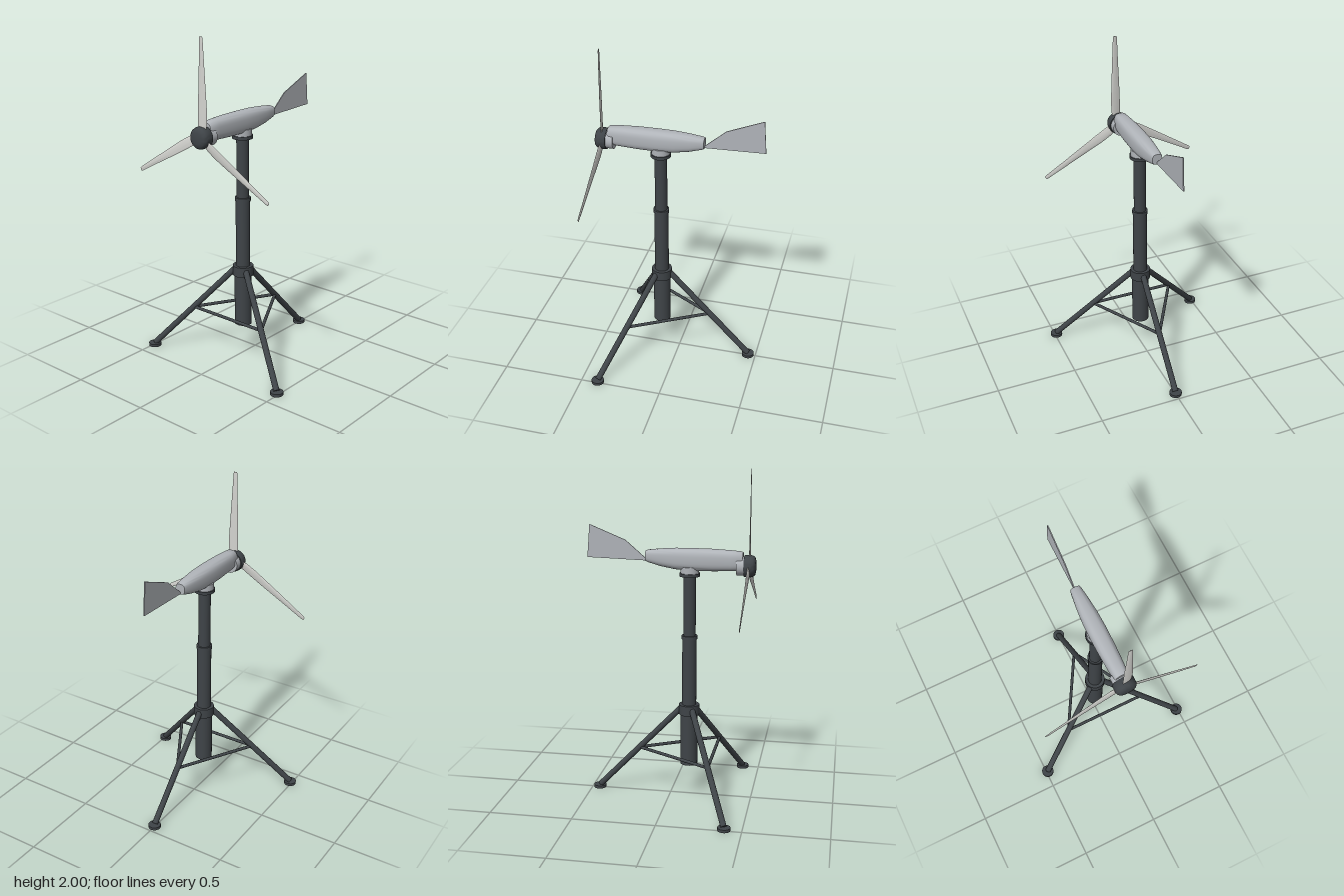
import * as THREE from 'three';
import { toCreasedNormals } from 'three/addons/utils/BufferGeometryUtils.js';

const V = (x, y, z) => new THREE.Vector3(x, y, z);
const AXIS_Z = 0.114; // mast position
const HUB_Y = 1.442;

const mat = (name, color) => {
  const m = new THREE.MeshStandardMaterial({ color });
  m.name = name;
  return m;
};

// Closed skin through rings of points, ordered from +z to -z
function loft(rings) {
  const n = rings[0].length, pos = [];
  const tri = (...pts) => pts.forEach(p => pos.push(p.x, p.y, p.z));
  const middle = ring => ring.reduce((s, p) => s.add(p), V(0, 0, 0)).divideScalar(n);
  const first = rings[0], last = rings[rings.length - 1];
  const c0 = middle(first), c1 = middle(last);
  for (let j = 0; j < n; j++) {
    const k = (j + 1) % n;
    for (let i = 0; i < rings.length - 1; i++) {
      const a = rings[i], b = rings[i + 1];
      tri(a[j], b[j], a[k]);
      tri(a[k], b[j], b[k]);
    }
    tri(c0, first[j], first[k]);
    tri(c1, last[k], last[j]);
  }
  const g = new THREE.BufferGeometry();
  g.setAttribute('position', new THREE.Float32BufferAttribute(pos, 3));
  return toCreasedNormals(g, 0.6);
}

// Superellipse ring: power 2 is an ellipse, higher is boxier
function ring(z, cx, cy, hw, hh, power, twist, n) {
  const pts = [];
  for (let j = 0; j < n; j++) {
    const a = (j / n) * Math.PI * 2, c = Math.cos(a), s = Math.sin(a);
    const x = hw * Math.sign(c) * Math.abs(c) ** (2 / power);
    const y = hh * Math.sign(s) * Math.abs(s) ** (2 / power);
    const ct = Math.cos(twist), st = Math.sin(twist);
    pts.push(V(cx + x * ct - y * st, cy + x * st + y * ct, z));
  }
  return pts;
}

export function createModel() {
  const dark = mat('dark metal', 0x3f4448);
  const grey = mat('light grey shell', 0xb0b4b9);
  const pale = mat('pale blade', 0xd3d3cf);
  const model = new THREE.Group();
  model.name = 'windTurbine';

  const add = (name, geometry, material, parent = model) => {
    const mesh = new THREE.Mesh(geometry, material);
    mesh.name = name;
    parent.add(mesh);
    return mesh;
  };
  const column = (name, r, y0, y1, material = dark, x = 0, z = AXIS_Z) =>
    add(name, new THREE.CylinderGeometry(r, r, y1 - y0, 32), material).position.set(x, (y0 + y1) / 2, z);
  const bar = (name, a, b, r) => {
    const d = b.clone().sub(a);
    const m = add(name, new THREE.CylinderGeometry(r, r, d.length(), 16), dark);
    m.position.copy(a).add(b).multiplyScalar(0.5);
    m.quaternion.setFromUnitVectors(V(0, 1, 0), d.normalize());
  };

  // Telescopic mast
  column('lowerMast', 0.052, 0.2, 0.56);
  column('legCollar', 0.062, 0.52, 0.582);
  column('middleMast', 0.043, 0.56, 1.0);
  column('middleCollar', 0.047, 0.99, 1.013);
  column('upperMast', 0.037, 1.0, 1.385);
  column('topCollar', 0.061, 1.372, 1.391);
  column('yawBearing', 0.055, 1.388, 1.43, grey);

  // Tripod with feet and cross struts
  const around = (i, r, y) => {
    const a = Math.PI + (i * Math.PI * 2) / 3;
    return V(Math.sin(a) * r, y, AXIS_Z + Math.cos(a) * r);
  };
  for (let i = 0; i < 3; i++) {
    bar('leg', around(i, 0.05, 0.555), around(i, 0.562, 0.02), 0.018);
    bar('crossStrut', around(i, 0.31, 0.283), around(i + 1, 0.31, 0.283), 0.0095);
    const f = around(i, 0.566, 0);
    column('foot', 0.038, 0, 0.018, dark, f.x, f.z);
  }

  // Nacelle: z, half width, bottom, top
  const sections = [
    [0.428, 0.038, 1.42, 1.52], [0.42, 0.042, 1.416, 1.526], [0.36, 0.046, 1.411, 1.531],
    [0.25, 0.051, 1.407, 1.536], [0.13, 0.053, 1.406, 1.537], [0.03, 0.05, 1.412, 1.536],
    [-0.06, 0.042, 1.428, 1.53], [-0.135, 0.033, 1.449, 1.522], [-0.148, 0.03, 1.455, 1.517],
  ];
  add('nacelle', loft(sections.map(([z, w, b, t]) =>
    ring(z, 0, (b + t) / 2, w, (t - b) / 2, 2.8, 0, 32))), grey);

  // Tail vane
  const vane = new THREE.Shape([
    [-0.1, 1.475], [-0.14, 1.457], [-0.505, 1.467], [-0.489, 1.664], [-0.272, 1.576], [-0.14, 1.462],
  ].map(([z, y]) => new THREE.Vector2(-z, y)));
  const vaneGeo = new THREE.ExtrudeGeometry(vane, { depth: 0.006, bevelEnabled: false });
  vaneGeo.translate(0, 0, -0.003).rotateY(Math.PI / 2);
  add('tailVane', vaneGeo, grey);

  // Rotor
  const rotor = new THREE.Group();
  rotor.name = 'rotor';
  rotor.position.set(0, HUB_Y, 0.465);
  model.add(rotor);
  add('rotorNeck', new THREE.CylinderGeometry(0.056, 0.056, 0.05, 32).rotateX(Math.PI / 2), grey, rotor)
    .position.z = -0.048;
  const hubProfile = [[0, -0.03], [0.062, -0.03], [0.064, -0.026], [0.064, 0.01], [0.06, 0.024],
    [0.05, 0.034], [0.032, 0.038], [0, 0.04]].map(p => new THREE.Vector2(...p));
  const hub = toCreasedNormals(new THREE.LatheGeometry(hubProfile, 40).rotateX(Math.PI / 2), 0.7);
  add('hub', hub, dark, rotor);

  // Blades: radius, chord centre, half chord, half thickness, twist
  const bladeSections = [
    [0.558, 0.009, 0.01, 0.0012, 0.03], [0.545, 0.009, 0.013, 0.0015, 0.03],
    [0.4, 0.011, 0.019, 0.0022, 0.05], [0.25, 0.012, 0.026, 0.003, 0.09],
    [0.15, 0.013, 0.03, 0.004, 0.13], [0.08, 0.012, 0.03, 0.0045, 0.16],
    [0.03, 0.008, 0.022, 0.0045, 0.18],
  ];
  const blade = loft(bladeSections.map(([r, c, w, t, k]) => ring(r, c, 0, w, t, 2, k, 16)));
  blade.rotateX(-Math.PI / 2);
  for (let i = 0; i < 3; i++) {
    add('blade', blade, pale, rotor).rotation.z = (i * Math.PI * 2) / 3;
  }
  return model;
}
